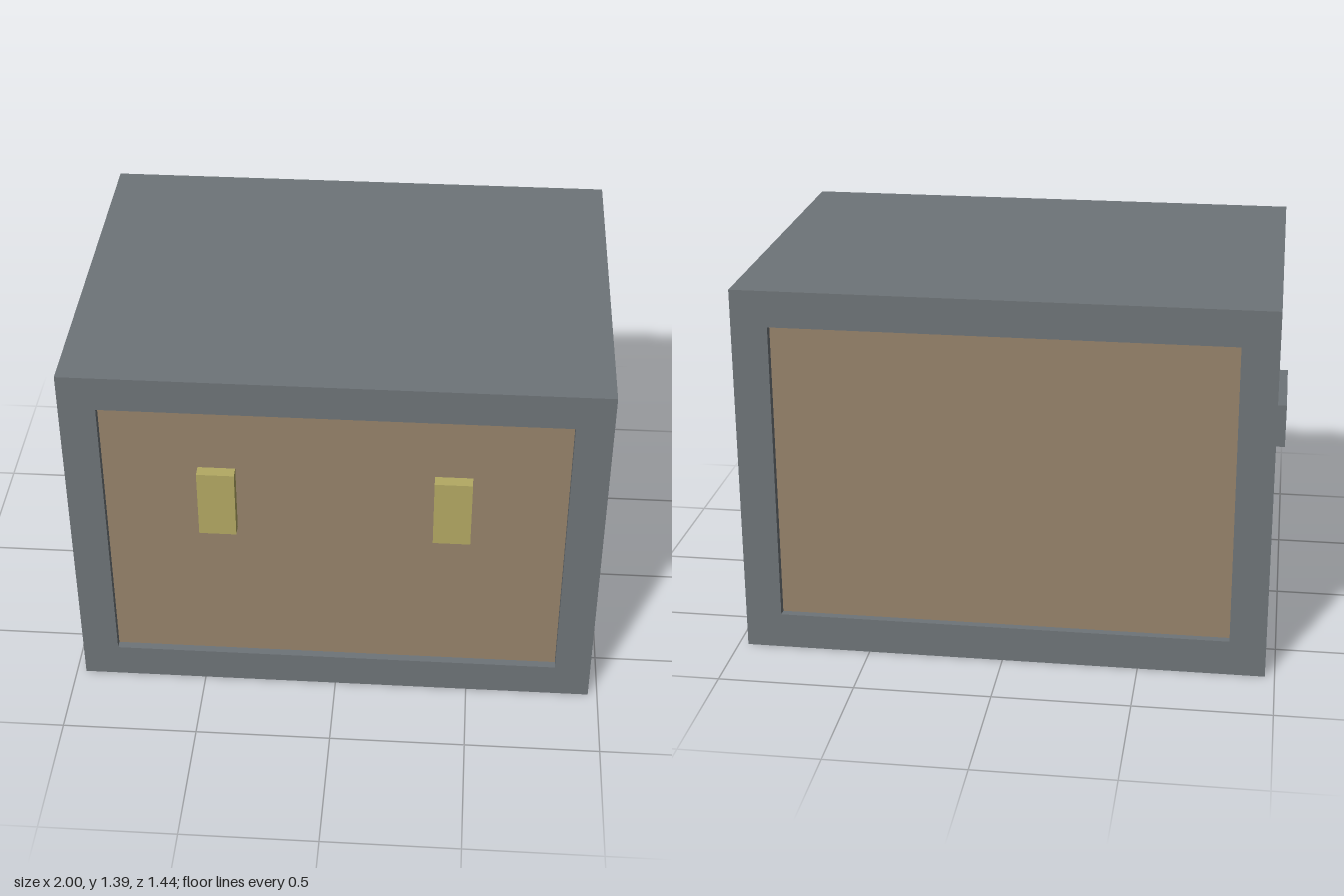
import * as THREE from 'three';

export function createModel() {
  const model = new THREE.Group();
  model.name = 'crate';
  const metal = new THREE.MeshStandardMaterial({ name: 'slate grey', color: 0x6e7478 });
  const wood = new THREE.MeshStandardMaterial({ name: 'tan panel', color: 0x96836b });
  const brass = new THREE.MeshStandardMaterial({ name: 'olive brass', color: 0xb3a963 });

  // Box given by its lower and upper corners
  const box = (name, material, [x0, y0, z0], [x1, y1, z1], parent = model) => {
    const mesh = new THREE.Mesh(new THREE.BoxGeometry(x1 - x0, y1 - y0, z1 - z0), material);
    mesh.position.set((x0 + x1) / 2, (y0 + y1) / 2, (z0 + z1) / 2);
    mesh.name = name;
    parent.add(mesh);
    return mesh;
  };

  const X = 0.965, H = 1.39, BACK = -0.72, FRONT = 0.705;
  const BORDER = 0.133, RECESS = 0.03;

  // Frame: solid lid and base joined by four corner posts
  const frame = new THREE.Group();
  frame.name = 'frame';
  model.add(frame);
  box('base', metal, [-X, 0, BACK], [X, BORDER, FRONT], frame);
  box('lid', metal, [-X, H - BORDER, BACK], [X, H, FRONT], frame);
  for (const [side, x] of [['right', -X], ['left', X - BORDER]]) {
    for (const [end, z] of [['Back', BACK], ['Front', FRONT - BORDER]]) {
      box(side + end + 'Post', metal, [x, BORDER, z], [x + BORDER, H - BORDER, z + BORDER], frame);
    }
  }

  // Recessed panels, one body set back inside the frame on all four sides
  box('sidePanels', wood,
    [-X + RECESS, BORDER, BACK + RECESS], [X - RECESS, H - BORDER, FRONT - RECESS]);

  // Side handles and front latches, mirrored
  for (const [side, s] of [['right', -1], ['left', 1]]) {
    const span = (a, b) => (s > 0 ? [a, b] : [-b, -a]);
    const [h0, h1] = span(X - RECESS, 1);
    box(side + 'Handle', metal, [h0, 0.7, -0.21], [h1, 0.865, 0.195]);
    const [l0, l1] = span(0.355, 0.49);
    box(side + 'Latch', brass, [l0, 0.733, FRONT - RECESS], [l1, 1, 0.72]);
  }
  return model;
}
